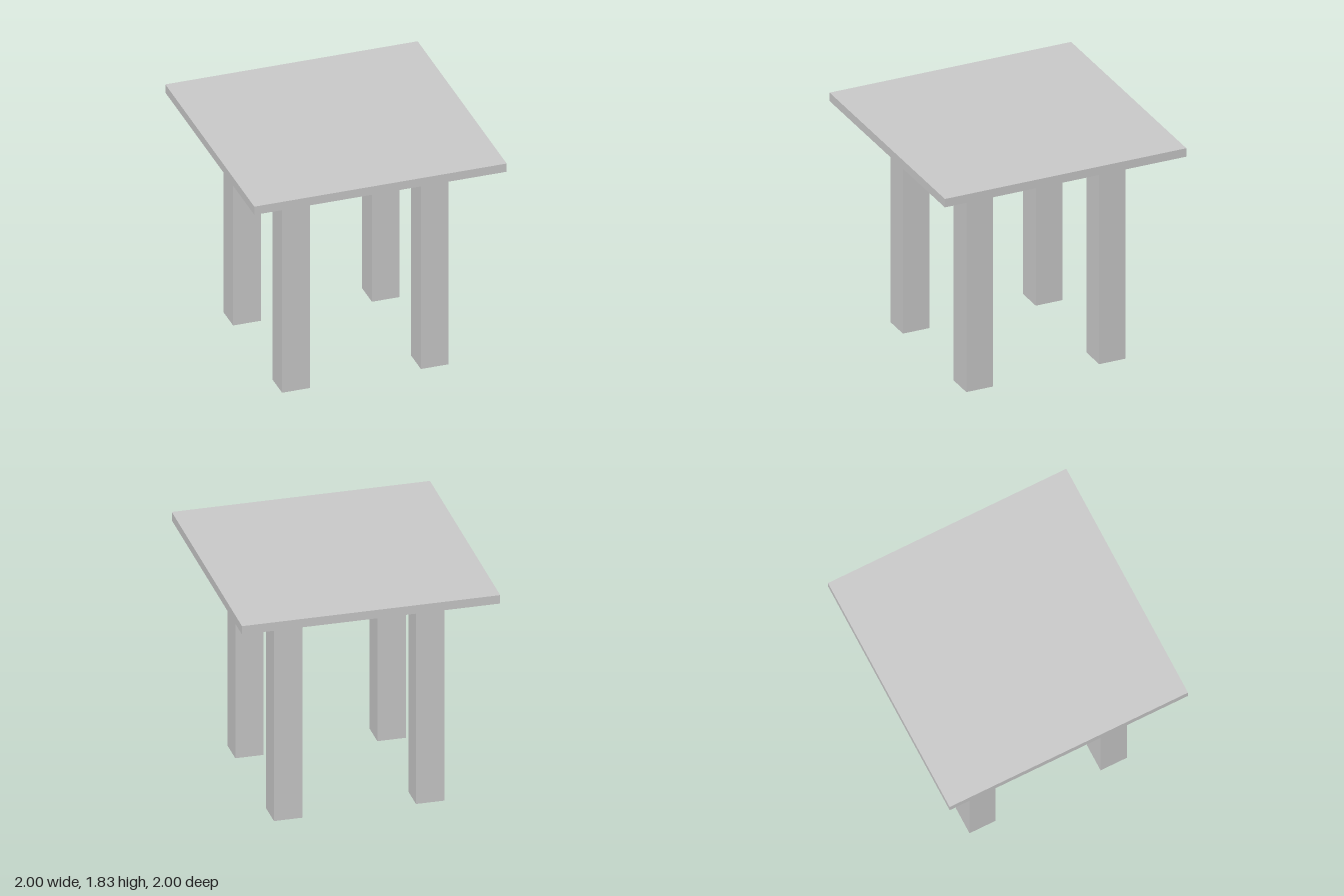
import * as THREE from 'three';

const TOP = 1.83, EDGE = 1.76, UNDER = 1.715;   // heights of the table top
const LEG = 0.22, LEG_POS = 0.55;

export function createModel() {
  const group = new THREE.Group();
  const material = new THREE.MeshStandardMaterial({ color: 0xcccccc, flatShading: true });

  const add = (name, geometry, x, y, z) => {
    const mesh = new THREE.Mesh(geometry, material);
    mesh.name = name;
    mesh.position.set(x, y, z);
    group.add(mesh);
  };

  // Square top: a straight-edged slab over a chamfered underside, as one closed solid
  const slab = new THREE.BoxGeometry(2, TOP - UNDER, 2, 1, 2, 1);
  const pos = slab.attributes.position;
  for (let i = 0; i < pos.count; i++) {
    const y = pos.getY(i);
    if (Math.abs(y) < 1e-6) pos.setY(i, EDGE - (TOP + UNDER) / 2);
    else if (y < 0) {
      pos.setX(i, pos.getX(i) * 0.88);
      pos.setZ(i, pos.getZ(i) * 0.88);
    }
  }
  const top = slab.toNonIndexed();
  top.computeVertexNormals();
  add('tableTop', top, 0, (TOP + UNDER) / 2, 0);

  // Four square legs
  const leg = new THREE.BoxGeometry(LEG, UNDER, LEG);
  for (const [zName, z] of [['front', 1], ['back', -1]])
    for (const [xName, x] of [['Left', 1], ['Right', -1]])
      add(`${zName}${xName}Leg`, leg, x * LEG_POS, UNDER / 2, z * LEG_POS);

  return group;
}
